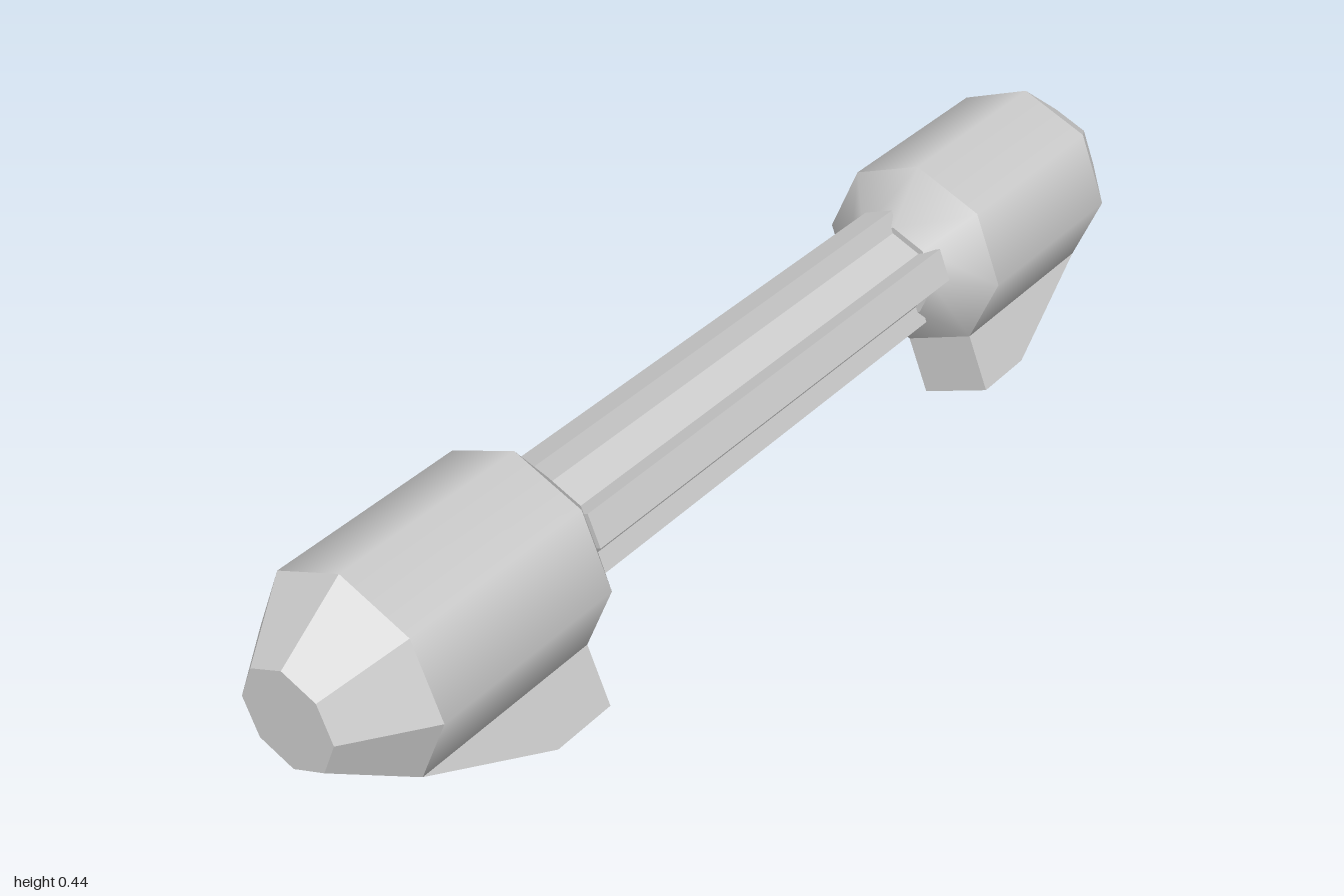
import * as THREE from 'three';

const AXIS_Y = 0.27;      // height of the long axis
const POD_R = 0.173;      // corner radius of the octagonal end pods
const TIP_R = 0.086;
const CORE_R = 0.075;
const TILT = -Math.PI / 8; // turns a part onto the middle of an octagon side

const smooth = new THREE.MeshStandardMaterial({ color: 0xcccccc });
const flat = new THREE.MeshStandardMaterial({ color: 0xcccccc, flatShading: true });

function addMesh(parent, name, geometry, material) {
  const mesh = new THREE.Mesh(geometry, material);
  mesh.name = name;
  parent.add(mesh);
  return mesh;
}

// Octagonal section along x, from x0 (radius r0) to x1 (radius r1), x0 < x1
function octagon(x0, r0, x1, r1, open = false) {
  return new THREE.CylinderGeometry(r1, r0, x1 - x0, 8, 1, open)
    .rotateZ(-Math.PI / 2)
    .translate((x0 + x1) / 2, 0, 0);
}

// Wedge foot standing on one side of the pod
function footGeometry(side) {
  const top = -POD_R * Math.cos(Math.PI / 8);
  const width = 2 * POD_R * Math.sin(Math.PI / 8);
  const profile = [[0.525, 0], [0.88, 0], [0.645, -0.105], [0.525, -0.105]];
  const shape = new THREE.Shape(profile.map(([x, d]) => new THREE.Vector2(side * x, top + d)));
  return new THREE.ExtrudeGeometry(shape, { depth: width, bevelEnabled: false })
    .translate(0, 0, -width / 2)
    .rotateX(TILT);
}

function createPod(side) {
  const pod = new THREE.Group();
  pod.name = side > 0 ? 'leftPod' : 'rightPod';
  const section = (xa, ra, xb, rb, open) => side > 0
    ? octagon(xa, ra, xb, rb, open)
    : octagon(-xb, rb, -xa, ra, open);

  addMesh(pod, 'barrel', section(0.525, POD_R, 0.88, POD_R, true), smooth);
  addMesh(pod, 'tip', section(0.88, POD_R, 1, TIP_R), flat);
  addMesh(pod, 'collar', section(0.455, TIP_R, 0.525, POD_R), smooth);
  addMesh(pod, 'foot', footGeometry(side), flat);
  return pod;
}

export function createModel() {
  const model = new THREE.Group();
  model.name = 'model';
  const body = new THREE.Group();
  body.name = 'body';
  body.position.y = AXIS_Y;
  model.add(body);

  for (const side of [1, -1]) body.add(createPod(side));

  // Handle: octagonal core with a rib on every other side
  const handle = new THREE.Group();
  handle.name = 'handle';
  body.add(handle);
  addMesh(handle, 'core', octagon(-0.47, CORE_R, 0.47, CORE_R), flat);

  const inner = CORE_R * Math.cos(Math.PI / 8);
  const outer = 0.105;
  const ribWidth = 2 * CORE_R * Math.sin(Math.PI / 8);
  for (let i = 0; i < 4; i++) {
    const rib = new THREE.BoxGeometry(0.94, outer - inner, ribWidth)
      .translate(0, -(inner + outer) / 2, 0)
      .rotateX(TILT + i * Math.PI / 2);
    addMesh(handle, 'rib' + (i + 1), rib, flat);
  }
  return model;
}
